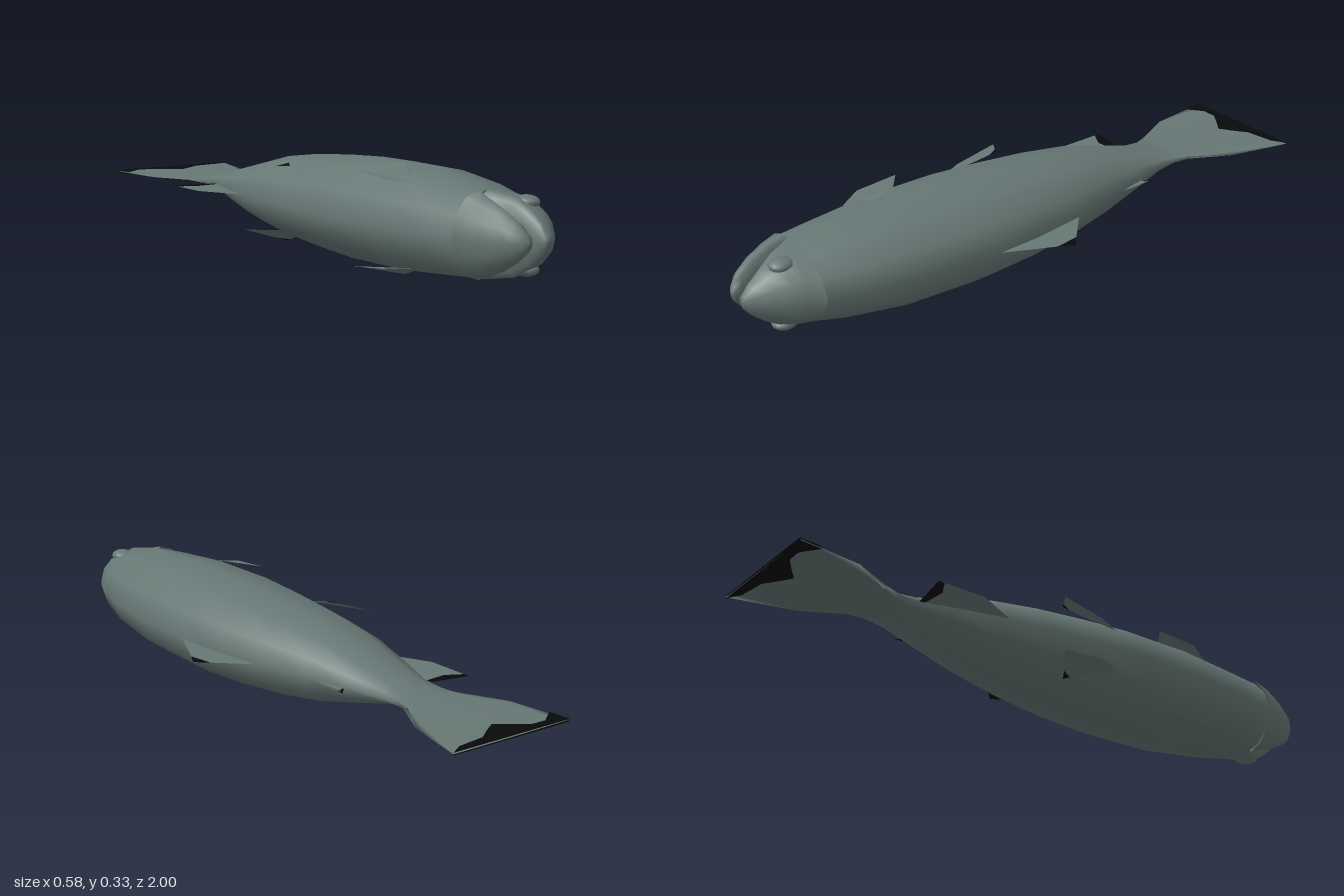
import * as THREE from 'three';

const MID = 0.167; // height of the fish's plane of symmetry (it lies on its side)
const SIDES = 12;

// Skin through oval sections [z, belly x, widest x, back x, half thickness]
function loft(sections) {
  const pos = [], index = [];
  sections.forEach(([z, x0, xc, x1, h]) => {
    for (let j = 0; j < SIDES; j++) {
      const a = (j / SIDES) * Math.PI * 2, c = Math.cos(a);
      pos.push(xc + c * (c > 0 ? x1 - xc : xc - x0), MID + h * Math.sin(a), z);
    }
  });
  for (let i = 0; i < sections.length - 1; i++) {
    for (let j = 0; j < SIDES; j++) {
      const a = i * SIDES + j, b = i * SIDES + ((j + 1) % SIDES);
      index.push(a, b, b + SIDES, a, b + SIDES, a + SIDES);
    }
  }
  const g = new THREE.BufferGeometry();
  g.setAttribute('position', new THREE.Float32BufferAttribute(pos, 3));
  g.setIndex(index);
  g.computeVertexNormals();
  return g;
}

// Flat fan of points [x, y, z]
function sheet(points) {
  const g = new THREE.BufferGeometry();
  const tris = [];
  for (let i = 1; i < points.length - 1; i++) tris.push(...points[0], ...points[i], ...points[i + 1]);
  g.setAttribute('position', new THREE.Float32BufferAttribute(tris, 3));
  g.computeVertexNormals();
  return g;
}

// Flat outline of points [x, z] lying at height y
function flat(points, y = MID) {
  const shape = new THREE.Shape(points.map(([x, z]) => new THREE.Vector2(x, -z)));
  return new THREE.ShapeGeometry(shape).rotateX(-Math.PI / 2).translate(0, y, 0);
}

export function createModel() {
  const group = new THREE.Group();
  const skin = new THREE.MeshStandardMaterial({ color: 0x667774, side: THREE.DoubleSide });
  skin.name = 'grey green skin';
  const black = new THREE.MeshStandardMaterial({ color: 0x080a09, side: THREE.DoubleSide });
  black.name = 'black fin edge';
  const add = (name, geometry, material = skin) => {
    const mesh = new THREE.Mesh(geometry, material);
    mesh.name = name;
    group.add(mesh);
    return mesh;
  };

  // Body flowing into the flat tail fin
  const throat = [0.8, -0.195, -0.07, 0.125, 0.124];
  add('body', loft([
    [-0.995, -0.275, -0.06, 0.155, 0.001],
    [-0.79, -0.245, -0.06, 0.11, 0.002],
    [-0.66, -0.18, -0.06, 0.042, 0.004],
    [-0.6, -0.158, -0.06, 0.034, 0.019],
    [-0.54, -0.152, -0.055, 0.037, 0.035],
    [-0.42, -0.183, -0.05, 0.07, 0.068],
    [-0.26, -0.22, -0.04, 0.11, 0.11],
    [-0.1, -0.24, -0.035, 0.15, 0.132],
    [0.08, -0.255, -0.03, 0.18, 0.147],
    [0.25, -0.259, -0.03, 0.193, 0.157],
    [0.5, -0.245, -0.035, 0.187, 0.156],
    [0.7, -0.217, -0.05, 0.155, 0.137],
    throat,
  ]));
  add('throat', loft([throat, [0.8, -0.07, -0.07, -0.07, 0]]));

  // Head: two jaws split by the mouth
  add('upperJaw', loft([
    [0.8, -0.118, -0.07, 0.125, 0.124],
    [0.84, -0.09, -0.055, 0.108, 0.118],
    [0.88, -0.068, -0.04, 0.09, 0.111],
    [0.93, -0.05, -0.025, 0.06, 0.08],
    [0.97, -0.04, -0.02, 0.025, 0.047],
    [0.993, -0.033, -0.016, 0.002, 0.02],
    [0.995, -0.016, -0.016, -0.016, 0],
  ]));
  add('lowerJaw', loft([
    [0.8, -0.195, -0.1, -0.085, 0.124],
    [0.85, -0.177, -0.105, -0.082, 0.108],
    [0.91, -0.153, -0.1, -0.075, 0.084],
    [0.96, -0.127, -0.092, -0.067, 0.053],
    [0.985, -0.1, -0.083, -0.065, 0.025],
    [0.992, -0.08, -0.08, -0.08, 0],
  ]));

  // Black trailing edge on both faces of the tail
  for (const s of [-1, 1]) {
    add('tailEdge', flat([[-0.275, -1], [0.155, -0.995], [0.11, -0.968], [0.015, -0.957],
      [-0.03, -0.925], [-0.07, -0.9], [-0.11, -0.93], [-0.16, -0.965], [-0.21, -0.967],
      [-0.267, -0.925]], MID + s * 0.004), black);
  }

  // Single fins along the back and belly
  add('dorsalFin', flat([[0.13, -0.1], [0.15, -0.1], [0.25, -0.005], [0.265, 0.078], [0.19, 0.24], [0.13, 0.24]]));
  add('dorsalFinTip', flat([[0.25, -0.005], [0.29, 0.03], [0.265, 0.078]]), black);
  add('adiposeFin', flat([[0.05, -0.37], [0.068, -0.42], [0.09, -0.44], [0.095, -0.35], [0.06, -0.28]]));
  add('adiposeFinTip', flat([[0.068, -0.42], [0.1, -0.457], [0.097, -0.43]]), black);
  add('analFin', flat([[-0.14, -0.52], [-0.17, -0.515], [-0.24, -0.51], [-0.294, -0.54], [-0.29, -0.4],
    [-0.22, -0.26], [-0.14, -0.3]]));
  add('analFinEdge', flat([[-0.14, -0.52], [-0.155, -0.533], [-0.295, -0.56], [-0.294, -0.54],
    [-0.24, -0.51], [-0.17, -0.515]]), black);

  // Paired fins and eye bulges, mirrored about the middle plane
  for (const s of [-1, 1]) {
    const side = (pts) => sheet(pts.map(([x, y, z]) => [x, MID + s * (y - MID), z]));
    add('pectoralFin', side([[-0.155, 0.288, 0.56], [-0.2, 0.297, 0.48], [-0.197, 0.31, 0.34],
      [-0.08, 0.332, 0.43], [-0.095, 0.31, 0.5]]));
    add('pelvicFin', side([[-0.235, 0.235, 0.13], [-0.275, 0.235, 0.05], [-0.295, 0.253, -0.11],
      [-0.215, 0.278, -0.055], [-0.19, 0.28, -0.015], [-0.2, 0.268, 0.02]]));
    add('pelvicFinTip', side([[-0.215, 0.278, -0.055], [-0.183, 0.288, -0.035], [-0.19, 0.28, -0.015]]), black);
    const eye = add('eyeBulge', new THREE.SphereGeometry(1, 12, 8));
    eye.scale.set(0.035, 0.02, 0.04);
    eye.position.set(0.005, MID + s * 0.093, 0.875);
  }
  return group;
}
